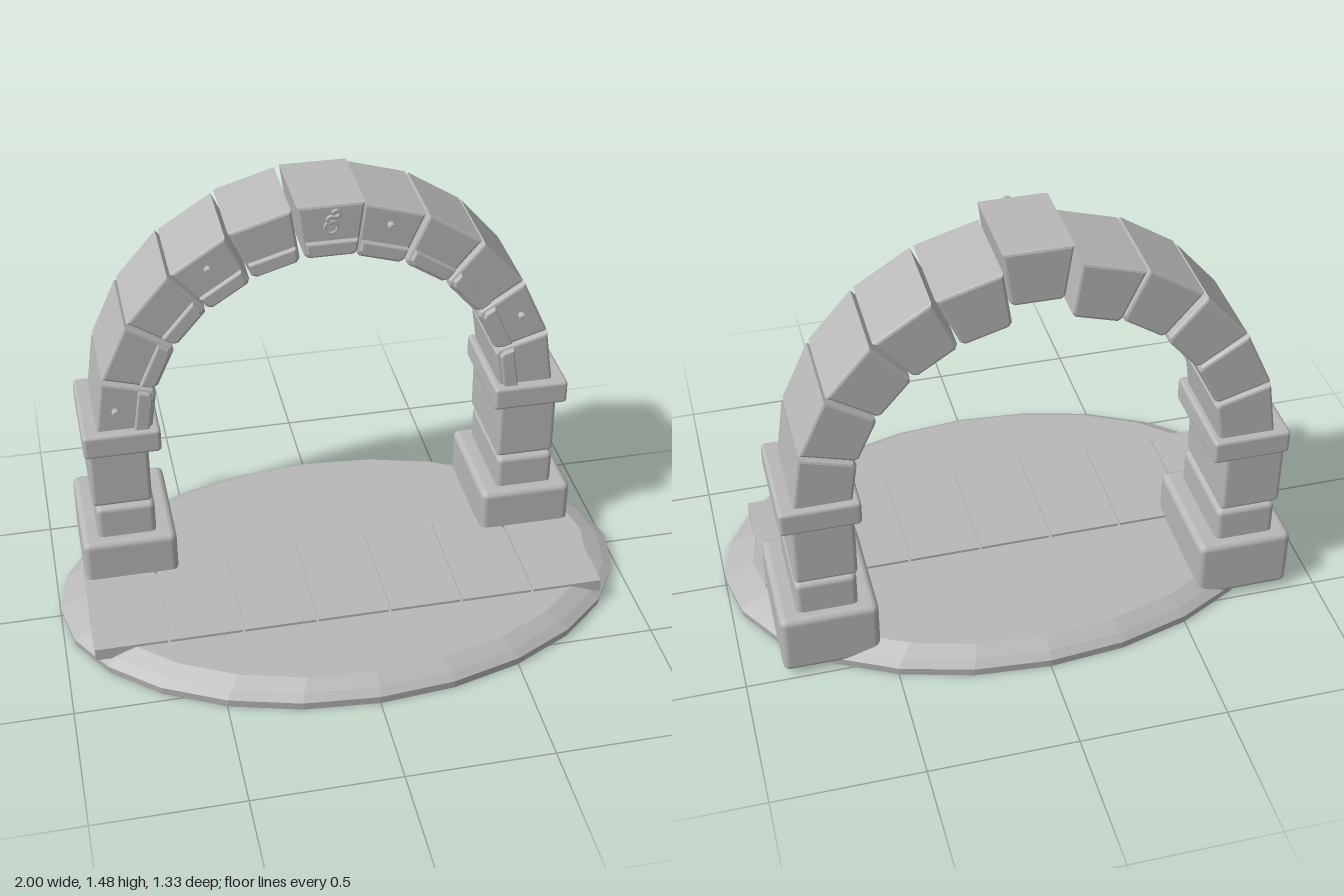
import * as THREE from 'three';
import { RoundedBoxGeometry } from 'three/addons/geometries/RoundedBoxGeometry.js';

const stone = new THREE.MeshStandardMaterial({ color: 0xb8b8b8 });
stone.name = 'grey stone';

const CX = -0.013, CY = 0.65; // arch centre
const STEP = Math.PI / 11;

function add(parent, geometry, name, x = 0, y = 0, z = 0) {
  const mesh = new THREE.Mesh(geometry, stone);
  mesh.name = name;
  mesh.position.set(x, y, z);
  parent.add(mesh);
  return mesh;
}

// rounded block given by its limits in y and z
function block(parent, name, x, width, y0, y1, z0, z1, radius) {
  const g = new RoundedBoxGeometry(width, y1 - y0, z1 - z0, 2, radius);
  return add(parent, g, name, x, (y0 + y1) / 2, (z0 + z1) / 2);
}

// straight-sided wedge pointing up, between two radii, with rounded front and back edges
function wedge(r0, r1, halfAngle, z0, z1, bevel) {
  const s = Math.sin(halfAngle), c = Math.cos(halfAngle), k = 0.012;
  const shape = new THREE.Shape();
  shape.moveTo(-r0 * s + k, r0 * c);
  shape.lineTo(r0 * s - k, r0 * c);
  shape.lineTo(r0 * s + k * s, r0 * c + k);
  shape.lineTo(r1 * s, r1 * c);
  shape.lineTo(-r1 * s, r1 * c);
  shape.lineTo(-r0 * s - k * s, r0 * c + k);
  shape.closePath();
  const g = new THREE.ExtrudeGeometry(shape, {
    depth: z1 - z0 - 2 * bevel, bevelEnabled: true, bevelSize: bevel,
    bevelThickness: bevel, bevelOffset: -bevel, bevelSegments: 2,
  });
  return g.translate(0, 0, z0 + bevel);
}

export function createModel() {
  const model = new THREE.Group();
  model.name = 'stoneArch';

  // faceted oval ground slab
  const profile = [[0, 0], [0.995, 0], [1, 0.03], [0.965, 0.053], [0.9, 0.083], [0, 0.083]];
  const ground = new THREE.LatheGeometry(profile.map(([x, y]) => new THREE.Vector2(x, y)), 24)
    .scale(1, 1, 0.663).toNonIndexed();
  ground.computeVertexNormals();
  add(model, ground, 'groundSlab');

  // paving slabs through the arch
  for (let i = 0; i < 7; i++) {
    const g = new THREE.BoxGeometry(0.247, 0.045, 0.44);
    add(model, g, 'pavingSlab', -0.782 + i * 0.2555, 0.07, 0.09);
  }

  // two stacked pillars
  for (const side of [-1, 1]) {
    const pillar = new THREE.Group();
    pillar.name = side < 0 ? 'rightPillar' : 'leftPillar';
    model.add(pillar);
    block(pillar, 'plinth', side * 0.72 - 0.015, 0.33, 0.02, 0.245, -0.49, -0.06, 0.025);
    block(pillar, 'lowerBlock', side * 0.722 - 0.017, 0.205, 0.2, 0.366, -0.455, -0.1, 0.02);
    block(pillar, 'shaft', side * 0.725 - 0.023, 0.208, 0.376, 0.61, -0.46, -0.1, 0.016);
    block(pillar, 'capital', side * 0.72 - 0.013, 0.266, 0.59, 0.68, -0.465, -0.085, 0.014);
  }

  // arch stones, each with a raised inner moulding
  const arch = new THREE.Group();
  arch.name = 'arch';
  arch.position.set(CX, CY, 0);
  model.add(arch);
  for (let i = 0; i < 11; i++) {
    const key = i === 5;
    const stoneGroup = new THREE.Group();
    stoneGroup.name = key ? 'keystone' : 'archStone';
    stoneGroup.rotation.z = Math.PI / 2 - (i + 0.5) * STEP;
    arch.add(stoneGroup);
    const out = key ? 0.033 : 0; // the keystone stands proud
    const front = key ? -0.07 : i === 3 ? -0.107 : -0.118;
    const back = key ? -0.39 : i === 3 ? -0.43 : -0.442;
    add(stoneGroup, wedge(0.613 + out, 0.805 + out, STEP / 2 - 0.008, back, front, 0.01), 'stoneBody');
    add(stoneGroup, wedge(0.625 + out, 0.675 + out, STEP / 2 - 0.022, front - 0.02, front + 0.018, 0.006), 'moulding');

    // small round studs on every third stone
    if ([0, 3, 6, 9].includes(i)) {
      const stud = new THREE.CylinderGeometry(0.012, 0.014, 0.04, 12).rotateX(Math.PI / 2);
      add(stoneGroup, stud, 'stud', 0, 0.74, front + 0.004);
    }
  }

  // carved ring and curl on the keystone
  add(model, new THREE.TorusGeometry(0.021, 0.005, 6, 20), 'carvedRing', -0.015, 1.403, -0.064);
  const curl = new THREE.CatmullRomCurve3(
    [[-0.02, 1.424], [-0.03, 1.438], [-0.018, 1.447], [0.002, 1.444], [0.012, 1.456], [0.002, 1.468], [-0.01, 1.462]]
      .map(([x, y]) => new THREE.Vector3(x, y, -0.055)));
  add(model, new THREE.TubeGeometry(curl, 24, 0.006, 6), 'carvedCurl');
  for (const end of [curl.getPoint(0), curl.getPoint(1)]) {
    add(model, new THREE.SphereGeometry(0.007, 8, 6), 'carvedCurlTip', end.x, end.y, end.z);
  }
  return model;
}
